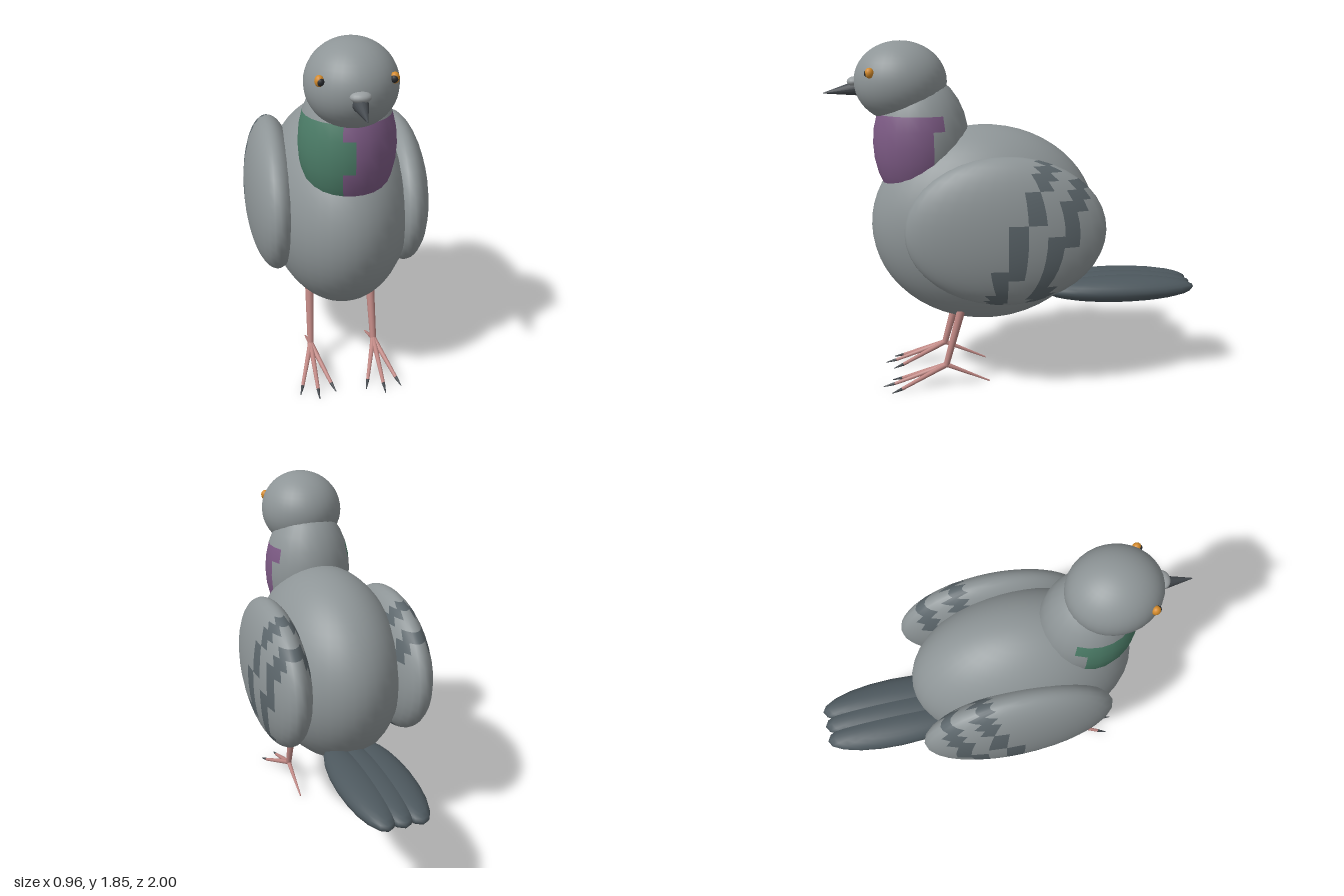
import * as THREE from 'three';

const mat = (name, color) => {
  const m = new THREE.MeshStandardMaterial({ color });
  m.name = name;
  return m;
};

export function createModel() {
  const grey = mat('plumage grey', 0x8e9597);
  const slate = mat('wing bar slate', 0x5c666b);
  const tailGrey = mat('tail slate', 0x4d585e);
  const green = mat('neck green', 0x4c7d68);
  const purple = mat('neck purple', 0x7c5a84);
  const pink = mat('leg pink', 0xc08884);
  const orange = mat('eye orange', 0xd48a2a);
  const dark = mat('beak dark', 0x44494e);
  const pupilDark = mat('pupil dark', 0x2a2c2f);
  const pale = mat('cere pale grey', 0x9a9fa1);

  const model = new THREE.Group();
  model.name = 'bird';

  const add = (name, geometry, material, parent = model) => {
    const mesh = new THREE.Mesh(geometry, material);
    mesh.name = name;
    parent.add(mesh);
    return mesh;
  };

  // Ellipsoid from centre and radii
  const ellipsoid = (name, c, r, material, cols = 32, rows = 20, parent = model) => {
    const g = new THREE.SphereGeometry(1, cols, rows);
    g.scale(...r);
    g.translate(...c);
    return add(name, g, material, parent);
  };

  // Ellipsoid whose grid cells get a material index from rule(col, row)
  const paintedEllipsoid = (name, c, r, materials, cols, rows, rule) => {
    const mesh = ellipsoid(name, c, r, materials, cols, rows);
    const g = mesh.geometry;
    const lists = materials.map(() => []);
    for (let row = 0; row < rows; row++) {
      for (let col = 0; col < cols; col++) {
        const b = row * (cols + 1) + col;
        const a = b + 1, e = b + cols + 1, d = e + 1;
        const list = lists[rule(col, row)];
        if (row > 0) list.push(a, b, d);
        if (row < rows - 1) list.push(b, e, d);
      }
    }
    g.setIndex(lists.flat());
    g.clearGroups();
    let start = 0;
    lists.forEach((list, i) => {
      g.addGroup(start, list.length, i);
      start += list.length;
    });
    return mesh;
  };

  // Tapered rod between two points
  const rod = (name, from, to, r0, r1, material, parent, sides = 10) => {
    const p = new THREE.Vector3(...from), q = new THREE.Vector3(...to);
    const dir = q.clone().sub(p);
    const mesh = add(name, new THREE.CylinderGeometry(r1, r0, dir.length(), sides), material, parent);
    mesh.position.copy(p).add(q).multiplyScalar(0.5);
    mesh.quaternion.setFromUnitVectors(new THREE.Vector3(0, 1, 0), dir.normalize());
    return mesh;
  };

  // Body and head
  ellipsoid('body', [0, 0.875, 0.16], [0.38, 0.535, 0.61], grey, 40, 28);
  ellipsoid('head', [0, 1.643, 0.597], [0.222, 0.212, 0.243], grey, 32, 24);

  // Neck with a two-tone patch on the front half
  paintedEllipsoid('neck', [0, 1.32, 0.495], [0.24, 0.365, 0.255], [grey, green, purple], 24, 14, (col, row) => {
    if (row < 5) return 0;
    const c = col > 17 ? col - 24 : col;
    const reach = row === 5 ? 2 : 1;
    if (c < -reach || c >= 12 + reach) return 0;
    const split = row === 6 || row === 7 ? 6 : 5;
    return c < split ? 1 : 2;
  });

  // Wings with two slanting bars
  for (const side of [1, -1]) {
    const cols = 32, rows = 20;
    const name = side > 0 ? 'leftWing' : 'rightWing';
    paintedEllipsoid(name, [side * 0.335, 0.9, 0.07], [0.145, 0.39, 0.52], [grey, slate], cols, rows, (col, row) => {
      const around = ((col + 0.5) / cols) * Math.PI * 2;
      const down = ((row + 0.5) / rows) * Math.PI;
      const y = 0.9 + 0.39 * Math.cos(down);
      const z = 0.07 + 0.52 * Math.sin(around) * Math.sin(down);
      const bar = 0.07 - 0.37 * (y - 0.7);
      return Math.abs(z - bar) < 0.05 || Math.abs(z - bar + 0.22) < 0.047 ? 1 : 0;
    });
  }

  // Tail feathers
  for (const x of [-0.09, 0, 0.09]) {
    ellipsoid('tailFeather', [x, 0.5, -0.58], [0.115, 0.07, 0.42], tailGrey, 20, 14);
  }

  // Beak and cere
  rod('beak', [0, 1.615, 0.79], [0, 1.585, 1.0], 0.046, 0.002, dark, model, 16);
  ellipsoid('cere', [0, 1.645, 0.835], [0.05, 0.026, 0.04], pale, 16, 12);

  for (const side of [1, -1]) {
    // Eyes
    ellipsoid('eye', [side * 0.17, 1.7, 0.747], [0.022, 0.027, 0.023], orange, 16, 12);
    ellipsoid('pupil', [side * 0.166, 1.698, 0.757], [0.018, 0.019, 0.018], pupilDark, 14, 10);

    // Leg, toes and claws
    const leg = new THREE.Group();
    leg.name = side > 0 ? 'leftLeg' : 'rightLeg';
    model.add(leg);
    const x = side * 0.172;
    const ankle = [x, 0.12, 0.385];
    rod('shank', [side * 0.163, 0.5, 0.28], ankle, 0.025, 0.017, pink, leg);
    ellipsoid('ankle', ankle, [0.017, 0.017, 0.017], pink, 10, 8, leg);
    for (const [dx, tipZ] of [[-0.092, 0.68], [0, 0.73], [0.092, 0.68]]) {
      const tip = [x + dx, 0.008, tipZ];
      const joint = ankle.map((v, i) => v + (tip[i] - v) * 0.82);
      joint[1] = 0.02;
      rod('toe', ankle, joint, 0.015, 0.009, pink, leg, 8);
      rod('claw', joint, [tip[0], 0.004, tipZ], 0.009, 0.002, dark, leg, 8);
    }
    rod('backToe', ankle, [x, 0.017, 0.15], 0.014, 0.004, pink, leg, 8);
  }

  return model;
}
